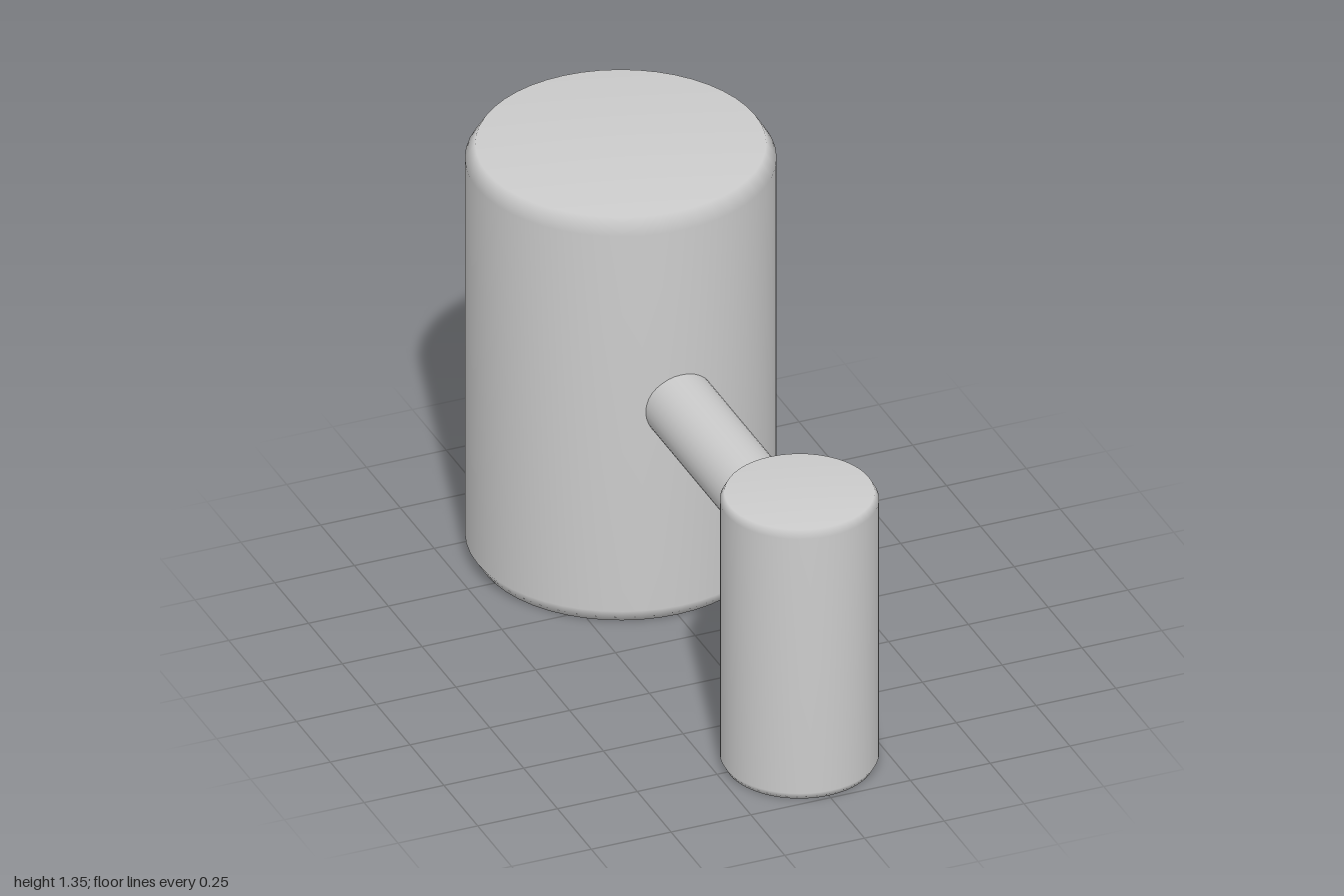
import * as THREE from 'three';

const material = new THREE.MeshStandardMaterial({ color: 0xcccccc, side: THREE.DoubleSide });

// Upright drum with a narrow bevel at both rims, softly shaded across the edges
function drum(name, radius, height, bevelIn, bevelUp, z) {
  const profile = [
    [0, 0],
    [radius - bevelIn, 0],
    [radius, bevelUp],
    [radius, height - bevelUp],
    [radius - bevelIn, height],
    [0, height],
  ].map(([x, y]) => new THREE.Vector2(x, y));
  const mesh = new THREE.Mesh(new THREE.LatheGeometry(profile, 48), material);
  mesh.name = name;
  mesh.position.z = z;
  return mesh;
}

export function createModel() {
  const model = new THREE.Group();
  model.name = 'linkedDrums';

  // Large drum at the back, small drum at the front
  model.add(drum('largeDrum', 0.45, 1.35, 0.03, 0.047, -0.55));
  model.add(drum('smallDrum', 0.23, 0.9, 0.013, 0.024, 0.77));

  // Horizontal pipe joining the two, its ends buried in the drums
  const start = -0.2, end = 0.64;
  const pipe = new THREE.Mesh(
    new THREE.CylinderGeometry(0.107, 0.107, end - start, 32), material);
  pipe.name = 'connectingPipe';
  pipe.rotation.x = Math.PI / 2;
  pipe.position.set(0, 0.712, (start + end) / 2);
  model.add(pipe);

  return model;
}
